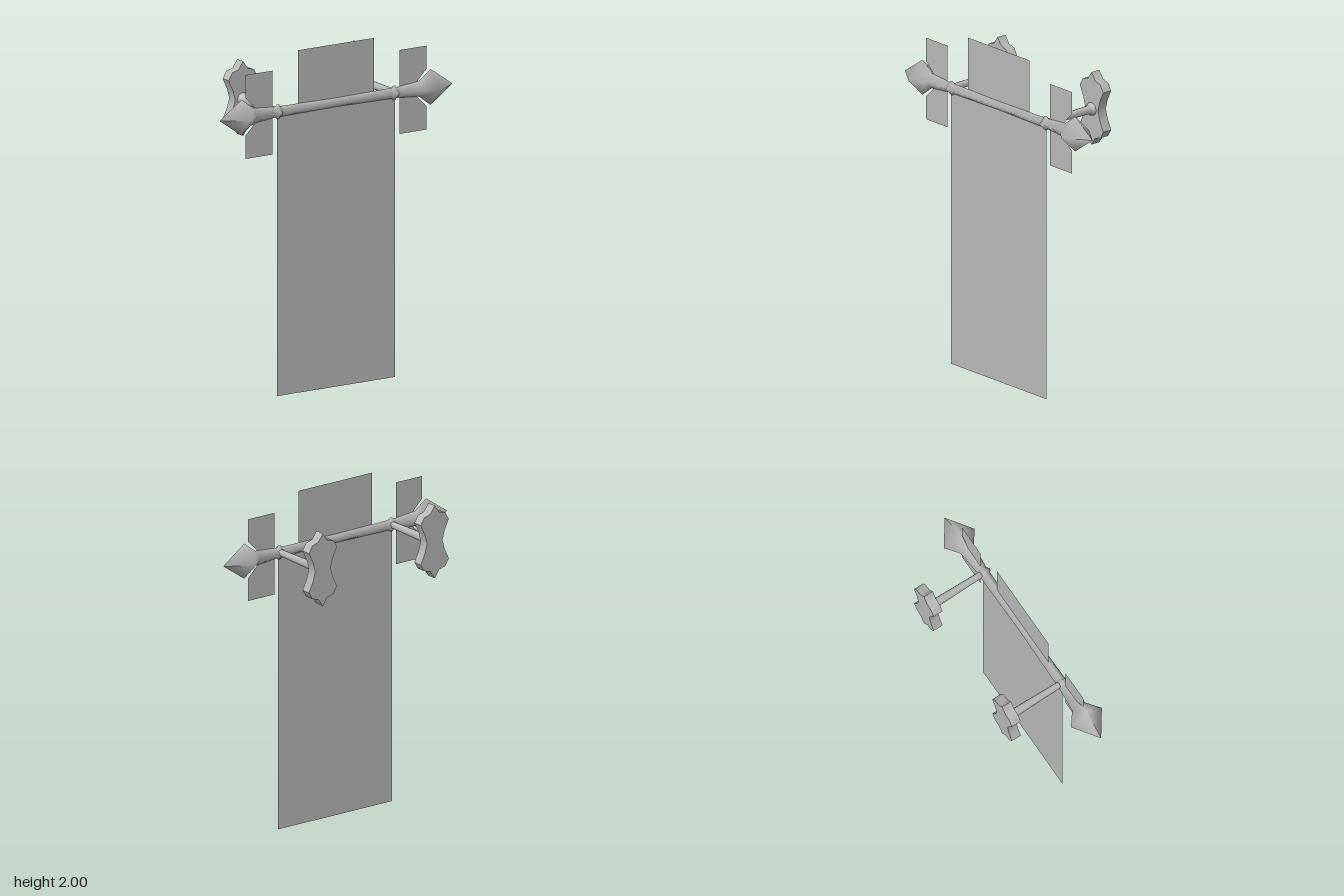
import * as THREE from 'three';
import { toCreasedNormals } from 'three/addons/utils/BufferGeometryUtils.js';

export function createModel() {
  const model = new THREE.Group();
  model.name = 'hangingBanner';
  const metal = new THREE.MeshStandardMaterial({ color: 0xb8b8b8 });
  metal.name = 'grey metal';
  const cloth = new THREE.MeshStandardMaterial({ color: 0xb8b8b8, side: THREE.DoubleSide });
  cloth.name = 'grey cloth';

  const ROD_Y = 1.66, ROD_Z = 0.15;
  const vecs = (pts) => pts.map(([x, y]) => new THREE.Vector2(x, y));
  const add = (name, geometry, material, x = 0, y = 0, z = 0) => {
    const mesh = new THREE.Mesh(geometry, material);
    mesh.name = name;
    mesh.position.set(x, y, z);
    model.add(mesh);
    return mesh;
  };

  // Rod: thin bar with collars and pointed diamond finials, mirrored about its middle
  const half = [[0.026, 0], [0.031, 0.37], [0.032, 0.385], [0.042, 0.392], [0.042, 0.408],
    [0.032, 0.418], [0.033, 0.44], [0.045, 0.57], [0.105, 0.65], [0, 0.8]];
  const profile = [...half.slice(1).reverse().map(([r, d]) => [r, -d]), ...half];
  const rodGeometry = new THREE.LatheGeometry(vecs(profile), 4);
  rodGeometry.rotateZ(-Math.PI / 2);
  add('rod', rodGeometry, metal, 0, ROD_Y, ROD_Z);

  // Wall plate: one quarter of the outline mirrored into a pinched leaf shape
  const quarter = [[0, 0.218], [0.032, 0.172], [0.075, 0.16], [0.1, 0.118], [0.07, 0.055], [0.055, 0]];
  const right = [...quarter, ...quarter.slice(0, -1).reverse().map(([x, y]) => [x, -y])];
  const outline = [...right, ...right.slice(1, -1).reverse().map(([x, y]) => [-x, y])];
  const plateGeometry = toCreasedNormals(new THREE.ExtrudeGeometry(
    new THREE.Shape(vecs(outline)), { depth: 0.06, bevelEnabled: false }), 0.95);

  // Arm: reaches from the wall plate to the rod, flared at the wall
  const armGeometry = new THREE.LatheGeometry(
    vecs([[0.042, 0], [0.03, 0.018], [0.026, 0.04], [0.02, 0.33], [0.02, 0.35]]), 8);
  armGeometry.rotateX(Math.PI / 2);

  // Cloth panels hang in the plane of the rod
  const panel = (name, pts) =>
    add(name, new THREE.ShapeGeometry(new THREE.Shape(vecs(pts))), cloth, 0, 0, ROD_Z);
  const rect = (w, y0, y1) => [[-w, y0], [w, y0], [w, y1], [-w, y1]];
  panel('banner', rect(0.407, 0, ROD_Y));
  panel('topPanel', rect(0.263, ROD_Y, 2));

  for (const side of [-1, 1]) {
    const label = side > 0 ? 'left' : 'right';
    add(label + 'WallPlate', plateGeometry, metal, side * 0.4, 1.667, -0.258);
    add(label + 'Arm', armGeometry, metal, side * 0.4, 1.663, -0.2);
    // Side panels are notched around the finial
    for (const up of [1, -1]) {
      const pts = [[0.435, 0], [0.435, 0.245], [0.622, 0.245], [0.622, 0.11], [0.56, 0.048], [0.54, 0]];
      panel(label + (up > 0 ? 'UpperSidePanel' : 'LowerSidePanel'),
        pts.map(([x, y]) => [side * x, ROD_Y + up * y]));
    }
  }
  return model;
}
